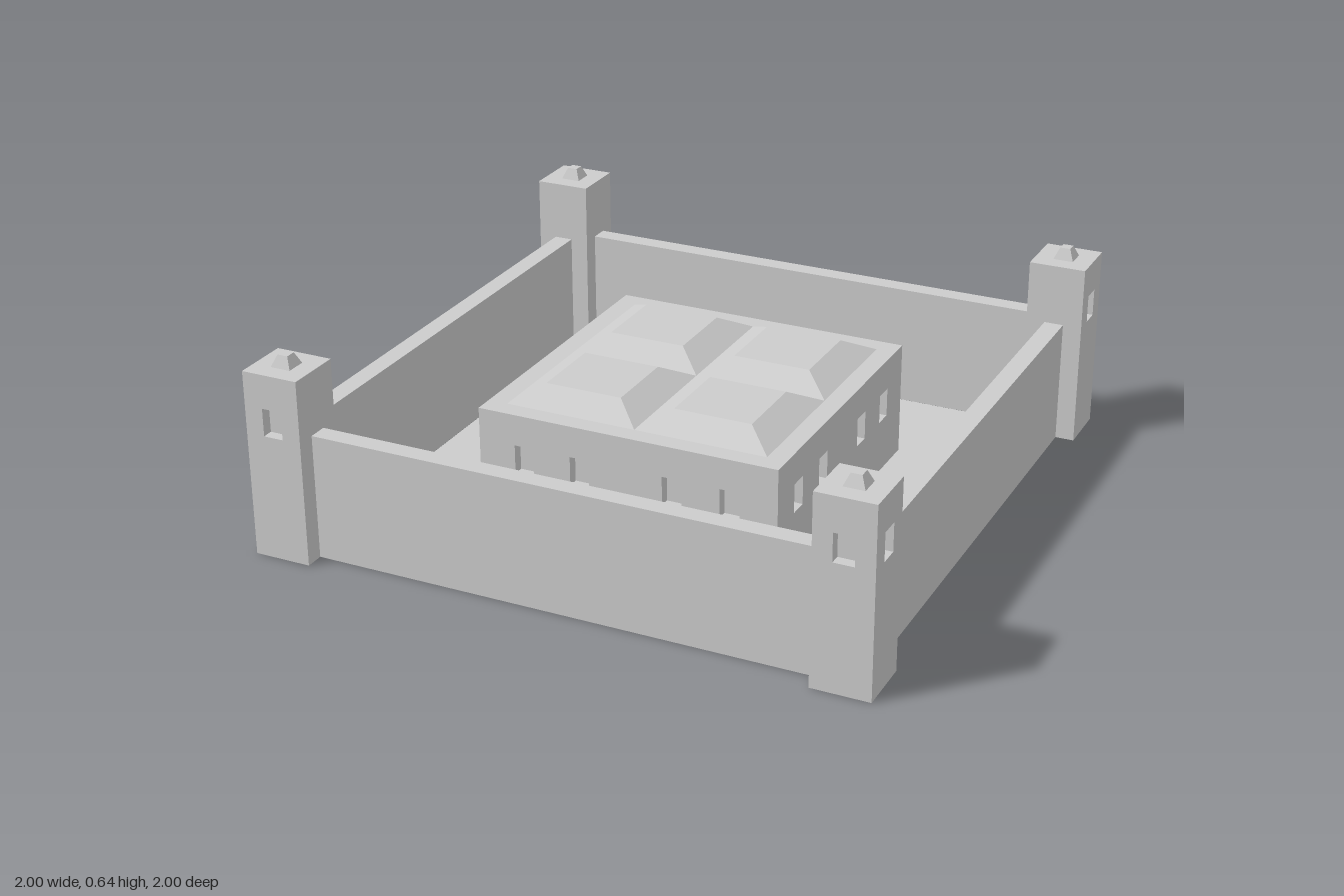
import * as THREE from 'three';
import { mergeGeometries } from 'three/addons/utils/BufferGeometryUtils.js';

const stone = new THREE.MeshStandardMaterial({ color: 0xcccccc, flatShading: true, side: THREE.DoubleSide });

function add(parent, name, geometry, x = 0, y = 0, z = 0) {
  const mesh = new THREE.Mesh(geometry, stone);
  mesh.name = name;
  mesh.position.set(x, y, z);
  parent.add(mesh);
  return mesh;
}

// Square outline centred on the origin
function square(Type, half) {
  const s = new Type();
  s.moveTo(-half, -half);
  s.lineTo(half, -half);
  s.lineTo(half, half);
  s.lineTo(-half, half);
  s.closePath();
  return s;
}

// Wall face in the xy plane with recessed windows; windows are [centreX, centreY]
function windowedFace(width, height, windows, w, h, depth) {
  const shape = new THREE.Shape();
  shape.moveTo(-width / 2, 0);
  shape.lineTo(width / 2, 0);
  shape.lineTo(width / 2, height);
  shape.lineTo(-width / 2, height);
  shape.closePath();
  const niches = [];
  for (const [x, y] of windows) {
    const hole = new THREE.Path();
    hole.moveTo(x - w / 2, y - h / 2);
    hole.lineTo(x - w / 2, y + h / 2);
    hole.lineTo(x + w / 2, y + h / 2);
    hole.lineTo(x + w / 2, y - h / 2);
    hole.closePath();
    shape.holes.push(hole);
    // Back, sides, sill and head of the recess
    niches.push(new THREE.PlaneGeometry(w, h).translate(x, y, -depth));
    for (const s of [-1, 1]) {
      niches.push(new THREE.PlaneGeometry(depth, h).rotateY(-s * Math.PI / 2).translate(x + s * w / 2, y, -depth / 2));
      niches.push(new THREE.PlaneGeometry(w, depth).rotateX(s * Math.PI / 2).translate(x, y + s * h / 2, -depth / 2));
    }
  }
  return mergeGeometries([new THREE.ShapeGeometry(shape), ...niches]);
}

// Four-sided truncated pyramid standing on y = 0
function frustum(baseHalf, topHalf, height) {
  return new THREE.CylinderGeometry(topHalf * Math.SQRT2, baseHalf * Math.SQRT2, height, 4, 1, false, Math.PI / 4)
    .translate(0, height / 2, 0);
}

// Hollow corner tower, its outer faces towards +x and +z
function tower() {
  const g = new THREE.Group();
  g.name = 'cornerTower';
  const size = 0.186, height = 0.605;
  for (let k = 0; k < 4; k++) {
    const windows = k < 2 ? [[0, 0.45]] : [];
    const face = windowedFace(size, height, windows, 0.065, 0.09, 0.035);
    face.translate(0, 0, size / 2).rotateY(k * Math.PI / 2);
    add(g, 'towerSide', face);
  }
  add(g, 'towerTop', new THREE.PlaneGeometry(size, size).rotateX(-Math.PI / 2), 0, height, 0);
  add(g, 'towerFinial', frustum(0.033, 0.017, 0.037), 0, height, 0);
  return g;
}

export function createModel() {
  const model = new THREE.Group();
  model.name = 'walledCompound';

  // Courtyard floor, open beneath the building and the towers
  const inner = 0.875, notch = 0.814;
  const floor = new THREE.Shape();
  for (let k = 0; k < 4; k++) {
    const c = Math.cos(k * Math.PI / 2), s = Math.sin(k * Math.PI / 2);
    for (const [x, y] of [[inner, -notch], [inner, notch], [notch, notch]]) {
      const px = c * x - s * y, py = s * x + c * y;
      if (k === 0 && y === -notch) floor.moveTo(px, py);
      else floor.lineTo(px, py);
    }
  }
  floor.closePath();
  floor.holes.push(square(THREE.Path, 0.5));
  add(model, 'courtyardFloor', new THREE.ShapeGeometry(floor).rotateX(-Math.PI / 2));

  // Perimeter walls and corner towers
  for (let k = 0; k < 4; k++) {
    const side = new THREE.Group();
    side.name = 'perimeterSide';
    side.rotation.y = k * Math.PI / 2;
    add(side, 'perimeterWall', new THREE.BoxGeometry(1.69, 0.405, 0.063), 0, 0.2025, 0.907);
    const t = tower();
    t.position.set(0.907, 0, 0.907);
    side.add(t);
    model.add(side);
  }

  // Central building with four rooms
  const building = new THREE.Group();
  building.name = 'centralBuilding';
  const roofY = 0.375;
  const windows = [-0.345, -0.155, 0.155, 0.345].map((x) => [x, 0.225]);
  for (let k = 0; k < 4; k++) {
    const face = windowedFace(1, roofY, windows, 0.065, 0.095, 0.035);
    add(building, 'buildingWall', face.translate(0, 0, 0.5).rotateY(k * Math.PI / 2));
  }
  for (const angle of [0, Math.PI / 2]) {
    add(building, 'roomPartition', new THREE.PlaneGeometry(1, roofY).rotateY(angle), 0, roofY / 2, 0);
  }
  add(building, 'roofSlab', new THREE.PlaneGeometry(1, 1).rotateX(-Math.PI / 2), 0, roofY, 0);

  // One raised roof over each room
  for (const x of [-0.218, 0.218]) {
    for (const z of [-0.218, 0.218]) {
      add(building, 'raisedRoof', frustum(0.218, 0.128, 0.05), x, roofY, z);
    }
  }
  model.add(building);
  return model;
}
